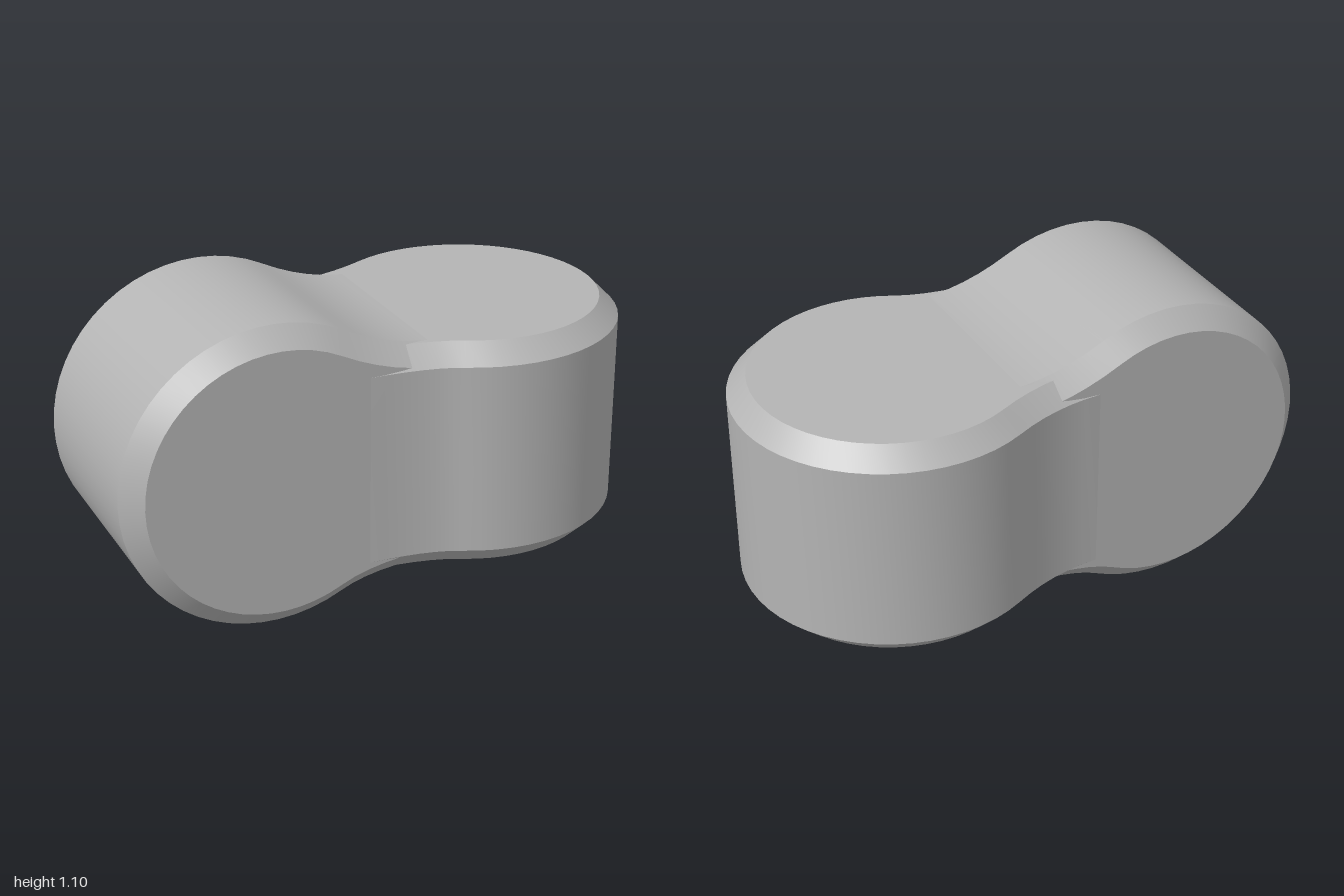
import * as THREE from 'three';
import { toCreasedNormals } from 'three/addons/utils/BufferGeometryUtils.js';

const RADIUS = 0.55, CENTRE = -0.45, BEVEL = 0.07, DEPTH = 0.835;

// Round lobe that flows through a concave curve into a short neck.
// upper / lower are the neck's distances from the lobe's axis.
function lobeProfile(upper, lower) {
  const theta = 1.1;
  const blend = (h, sign) => {
    const start = new THREE.Vector2(CENTRE + RADIUS * Math.cos(theta), RADIUS * Math.sin(theta));
    const run = (start.y - h) * Math.tan(theta);
    return new THREE.QuadraticBezierCurve(
      new THREE.Vector2(start.x, sign * start.y),
      new THREE.Vector2(start.x + run, sign * h),
      new THREE.Vector2(0.15, sign * h)
    ).getPoints(6);
  };
  const points = [];
  const steps = 36;
  for (let i = 0; i < steps; i++) {
    const a = theta + (i / steps) * (2 * Math.PI - 2 * theta);
    points.push(new THREE.Vector2(CENTRE + RADIUS * Math.cos(a), RADIUS * Math.sin(a)));
  }
  points.push(...blend(lower, -1));
  // the neck's end tapers slightly, buried in the other lobe
  points.push(new THREE.Vector2(0.25, -lower + 0.012), new THREE.Vector2(0.25, upper - 0.012));
  points.push(...blend(upper, 1).reverse().slice(0, -1));
  return new THREE.Shape(points);
}

// Chamfered slab centred on its own thickness
function lobe(name, upper, lower, material) {
  const geometry = new THREE.ExtrudeGeometry(lobeProfile(upper, lower), {
    depth: DEPTH - 2 * BEVEL, bevelEnabled: true, bevelSegments: 1,
    bevelSize: BEVEL, bevelOffset: -BEVEL, bevelThickness: BEVEL
  });
  geometry.translate(0, 0, BEVEL - DEPTH / 2);
  const mesh = new THREE.Mesh(toCreasedNormals(geometry, 0.45), material);
  mesh.name = name;
  return mesh;
}

export function createModel() {
  const group = new THREE.Group();
  group.name = 'crossedLink';
  const grey = new THREE.MeshStandardMaterial({ color: 0xb4b4b4 });
  grey.name = 'plain grey';

  // Upright disc, its axis running front to back
  const upright = lobe('uprightLobe', 0.398, 0.433, grey);
  upright.position.set(0, 0.554, 0.018);

  // Flat disc, its axis vertical, turned to meet the first
  const flat = lobe('flatLobe', 0.435, 0.4, grey);
  flat.quaternion.setFromRotationMatrix(new THREE.Matrix4().makeBasis(
    new THREE.Vector3(-1, 0, 0), new THREE.Vector3(0, 0, 1), new THREE.Vector3(0, 1, 0)
  ));
  flat.position.set(0, 0.536, 0);

  group.add(upright, flat);
  return group;
}
